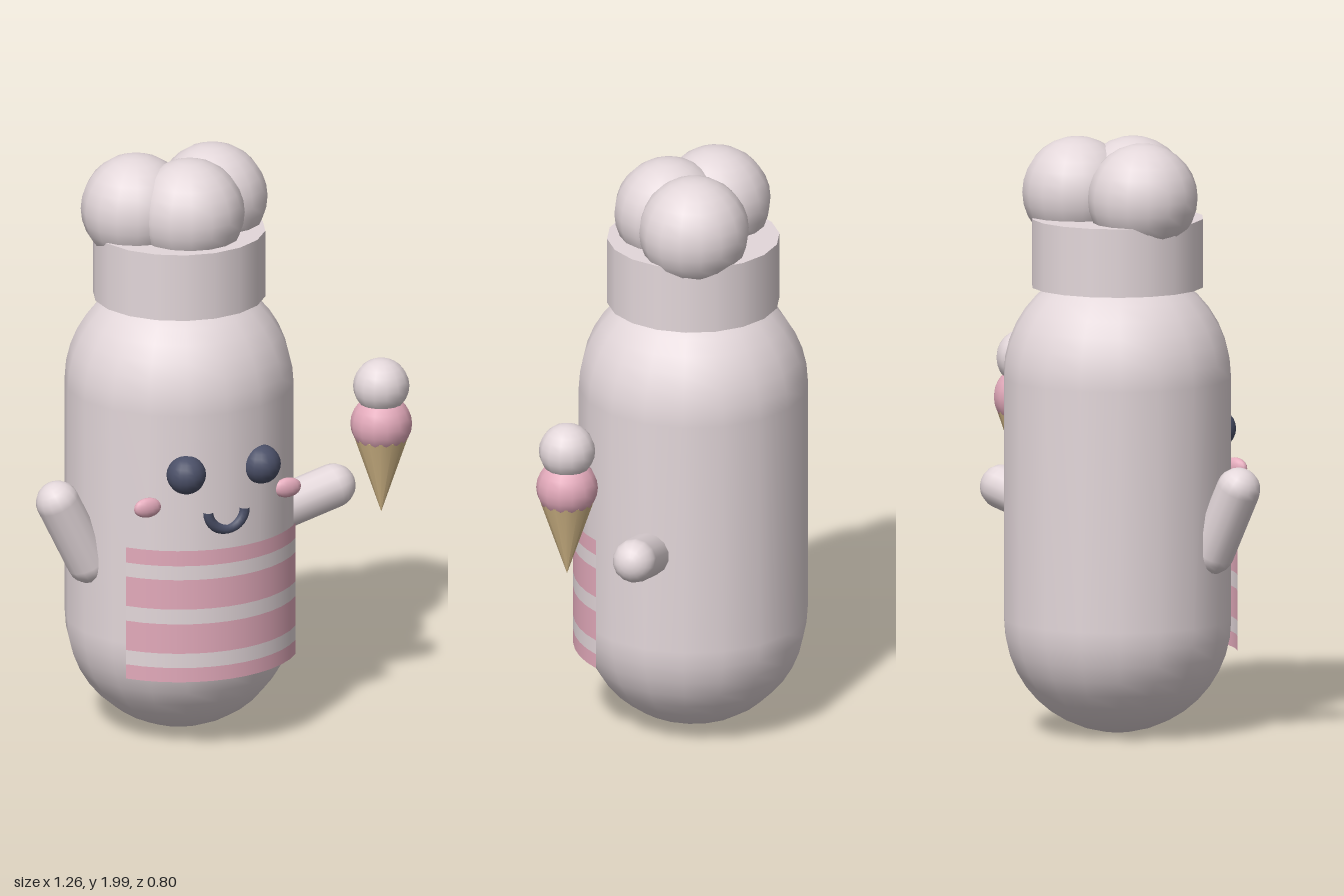
import * as THREE from 'three';

const CX = -0.092, CZ = -0.02; // body axis

function material(name, color, side = THREE.FrontSide) {
  const m = new THREE.MeshStandardMaterial({ color, side });
  m.name = name;
  return m;
}

export function createModel() {
  const model = new THREE.Group();
  model.name = 'chefFigure';
  const cream = material('cream', 0xe3d7da, THREE.DoubleSide);
  const pink = material('pink', 0xe3aabb, THREE.DoubleSide);
  const navy = material('navy', 0x4b5068);
  const wafer = material('wafer', 0xdbbf8d);

  function add(name, geometry, mat, x, y, z, parent = model) {
    const mesh = new THREE.Mesh(geometry, mat);
    mesh.name = name;
    mesh.position.set(x, y, z);
    parent.add(mesh);
    return mesh;
  }

  // Capsule body turned around a vertical axis
  const R = 0.383, low = 0.39, high = 1.2, profile = [];
  for (let i = 0; i <= 10; i++) {
    const a = (i / 10) * Math.PI / 2;
    profile.push(new THREE.Vector2(R * Math.sin(a), low - R * Math.cos(a)));
  }
  for (let i = 0; i <= 10; i++) {
    const a = (i / 10) * Math.PI / 2;
    profile.push(new THREE.Vector2(R * Math.cos(a), high + R * Math.sin(a)));
  }
  add('body', new THREE.LatheGeometry(profile, 18), cream, CX, 0, CZ);

  // Chef hat: band and three puffs
  const hat = new THREE.Group();
  hat.name = 'hat';
  model.add(hat);
  add('hatBand', new THREE.CylinderGeometry(0.288, 0.288, 0.23, 18), cream, CX, 1.62, CZ, hat);
  for (const [x, z] of [[-0.232, -0.06], [0.048, -0.06], [CX, 0.063]]) {
    add('hatPuff', new THREE.SphereGeometry(0.184, 16, 14), cream, x, 1.815, z, hat);
  }

  // Eyes and cheeks, mirrored about the body axis
  for (const s of [-1, 1]) {
    const side = s > 0 ? 'left' : 'right';
    add(side + 'Eye', new THREE.SphereGeometry(0.066, 16, 12), navy, CX + s * 0.137, 0.997, 0.335);
    const cheek = add(side + 'Cheek', new THREE.SphereGeometry(0.05, 14, 10), pink, CX + s * 0.256, 0.883, 0.286);
    cheek.scale.set(1, 0.68, 0.42);
  }

  // Smile
  const mouth = add('mouth', new THREE.TorusGeometry(0.067, 0.018, 8, 14, Math.PI), navy, CX, 0.862, 0.357);
  mouth.rotation.z = Math.PI;

  // Striped apron: curved bands sharing one radius
  const apron = new THREE.Group();
  apron.name = 'apron';
  model.add(apron);
  const levels = [0.275, 0.325, 0.375, 0.478, 0.53, 0.633, 0.682, 0.735];
  const half = Math.asin(0.31 / 0.4);
  for (let i = 0; i < levels.length - 1; i++) {
    const h = levels[i + 1] - levels[i];
    const band = new THREE.CylinderGeometry(0.4, 0.4, h, 12, 1, true, -half, half * 2);
    add('apronStripe', band, i % 2 ? cream : pink, CX, levels[i] + h / 2, CZ, apron);
  }

  // Arms: capsules between two points
  function arm(name, from, to) {
    const a = new THREE.Vector3(...from), b = new THREE.Vector3(...to);
    const dir = b.clone().sub(a);
    const mid = a.clone().add(b).multiplyScalar(0.5);
    const mesh = add(name, new THREE.CapsuleGeometry(0.074, dir.length(), 6, 14), cream, mid.x, mid.y, mid.z);
    mesh.quaternion.setFromUnitVectors(new THREE.Vector3(0, 1, 0), dir.normalize());
  }
  arm('rightArm', [-0.452, 0.635, 0.037], [-0.562, 0.855, 0.037]);
  arm('leftArm', [0.24, 0.72, 0.037], [0.447, 0.775, 0.037]);

  // Ice cream cone with two scoops
  const iceCream = new THREE.Group();
  iceCream.name = 'iceCream';
  iceCream.position.set(0.524, 0, 0.25);
  model.add(iceCream);
  const cone = add('cone', new THREE.ConeGeometry(0.09, 0.262, 14), wafer, 0, 0.869, 0, iceCream);
  cone.rotation.x = Math.PI;
  add('lowerScoop', new THREE.SphereGeometry(0.103, 14, 12), pink, 0, 1.047, 0, iceCream);
  add('upperScoop', new THREE.SphereGeometry(0.094, 14, 12), cream, 0, 1.179, 0, iceCream);

  return model;
}
